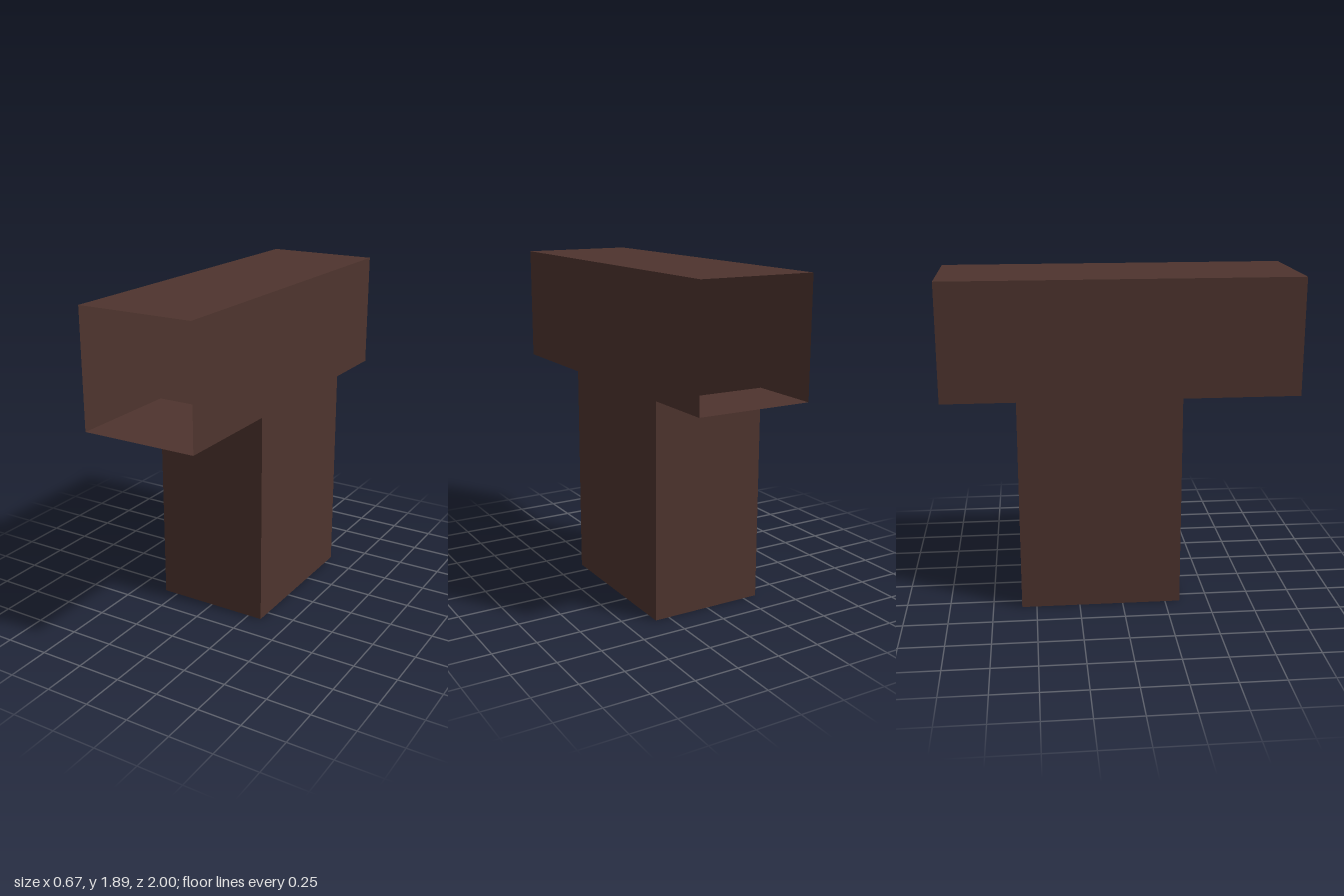
import * as THREE from 'three';

const HALF_W = 0.333, TOP = 1.893, FLOOR = 1.23; // duct cross-section
const FRONT = 0.335, BACK = -0.585;              // post extent along z

export function createModel() {
  const model = new THREE.Group();
  model.name = 'teeDuct';
  const brown = new THREE.MeshStandardMaterial({ color: 0x4e342e, side: THREE.DoubleSide });
  brown.name = 'dark brown';

  function add(name, geometry, x, y, z) {
    const mesh = new THREE.Mesh(geometry, brown);
    mesh.name = name;
    mesh.position.set(x, y, z);
    model.add(mesh);
  }

  // T-shaped side walls, each facing outward
  for (const side of [1, -1]) {
    const outline = [
      [FRONT, 0], [BACK, 0], [BACK, FLOOR], [-1, FLOOR],
      [-1, TOP], [1, TOP], [1, FLOOR], [FRONT, FLOOR],
    ].map(([z, y]) => new THREE.Vector2(-side * z, y));
    const wall = new THREE.ShapeGeometry(new THREE.Shape(outline));
    wall.rotateY(side * Math.PI / 2);
    add(side > 0 ? 'leftWall' : 'rightWall', wall, side * HALF_W, 0, 0);
  }

  // Cross panels: a plane facing +z, tipped about x to its outward direction
  function panel(name, length, tilt, y, z) {
    add(name, new THREE.PlaneGeometry(2 * HALF_W, length).rotateX(tilt), 0, y, z);
  }
  const UP = -Math.PI / 2, DOWN = Math.PI / 2;

  // Duct roof and its floor on both arms; the arm ends stay open
  panel('ductRoof', 2, UP, TOP, 0);
  panel('frontArmFloor', 1 - FRONT, DOWN, FLOOR, (1 + FRONT) / 2);
  panel('backArmFloor', 1 + BACK, DOWN, FLOOR, (BACK - 1) / 2);

  // Hollow post, open into the duct above and closed at the base
  panel('postFront', FLOOR, 0, FLOOR / 2, FRONT);
  panel('postBack', FLOOR, Math.PI, FLOOR / 2, BACK);
  panel('postBase', FRONT - BACK, DOWN, 0, (FRONT + BACK) / 2);

  return model;
}
